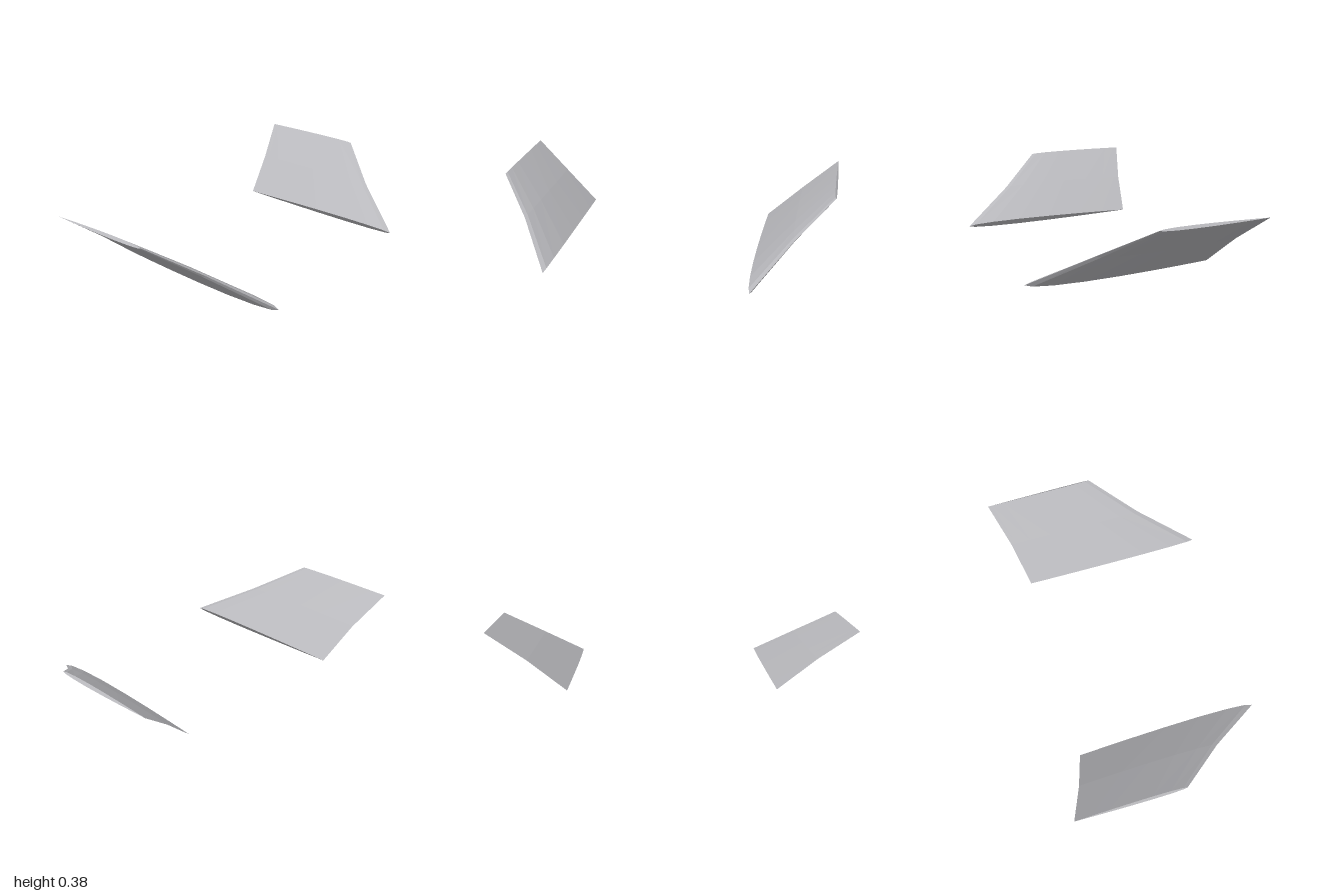
import * as THREE from 'three';

// Span stations: centre height, distance out, leading x, trailing x, half thickness
const STATIONS = [
  { y: 0.021, z: 0.578, lead: 0.602, trail: -0.477, half: 0.026 },
  { y: 0.203, z: 0.785, lead: 0.29, trail: -0.53, half: 0.0175 },
  { y: 0.369, z: 0.993, lead: 0.035, trail: -0.605, half: 0.01 },
];
const STEPS = 8; // chord divisions on each face
const TILT = Math.atan2(0.348, 0.415);

// Symmetric wing-section thickness, 0..1, along the chord
const thickness = (t) =>
  10 * (0.2969 * Math.sqrt(t) - 0.126 * t - 0.3516 * t * t + 0.2843 * t ** 3 - 0.1036 * t ** 4);

// Closed section loop: upper face from nose to tail, lower face back again
function section(st, side) {
  const loop = [];
  for (let i = 0; i < STEPS * 2; i++) {
    const angle = (Math.PI * i) / STEPS;
    const t = (1 - Math.cos(angle)) / 2;
    const off = t > 0.999 ? 0 : (i < STEPS ? 1 : -1) * thickness(t) * st.half;
    loop.push([
      st.lead + (st.trail - st.lead) * t,
      st.y + off * Math.cos(TILT),
      side * (st.z - off * Math.sin(TILT)),
    ]);
  }
  return loop;
}

function finGeometry(side) {
  const loops = STATIONS.map((st) => section(st, side));
  const pos = [];
  const tri = (a, b, c) => pos.push(...a, ...(side > 0 ? b : c), ...(side > 0 ? c : b));
  const n = STEPS * 2;
  // Skin between neighbouring sections
  for (let k = 0; k < loops.length - 1; k++) {
    for (let i = 0; i < n; i++) {
      const j = (i + 1) % n;
      tri(loops[k][i], loops[k][j], loops[k + 1][j]);
      tri(loops[k][i], loops[k + 1][j], loops[k + 1][i]);
    }
  }
  // Flat root and tip caps
  const root = loops[0];
  const tip = loops[loops.length - 1];
  for (let i = 1; i < n - 1; i++) {
    tri(root[0], root[i + 1], root[i]);
    tri(tip[0], tip[i], tip[i + 1]);
  }
  const geo = new THREE.BufferGeometry();
  geo.setAttribute('position', new THREE.Float32BufferAttribute(pos, 3));
  geo.computeVertexNormals();
  return geo;
}

export function createModel() {
  const group = new THREE.Group();
  group.name = 'finPair';
  const grey = new THREE.MeshStandardMaterial({ color: 0xb8b8bc, flatShading: true });
  grey.name = 'light grey';
  for (const [name, side] of [['frontFin', 1], ['backFin', -1]]) {
    const fin = new THREE.Mesh(finGeometry(side), grey);
    fin.name = name;
    group.add(fin);
  }
  return group;
}
